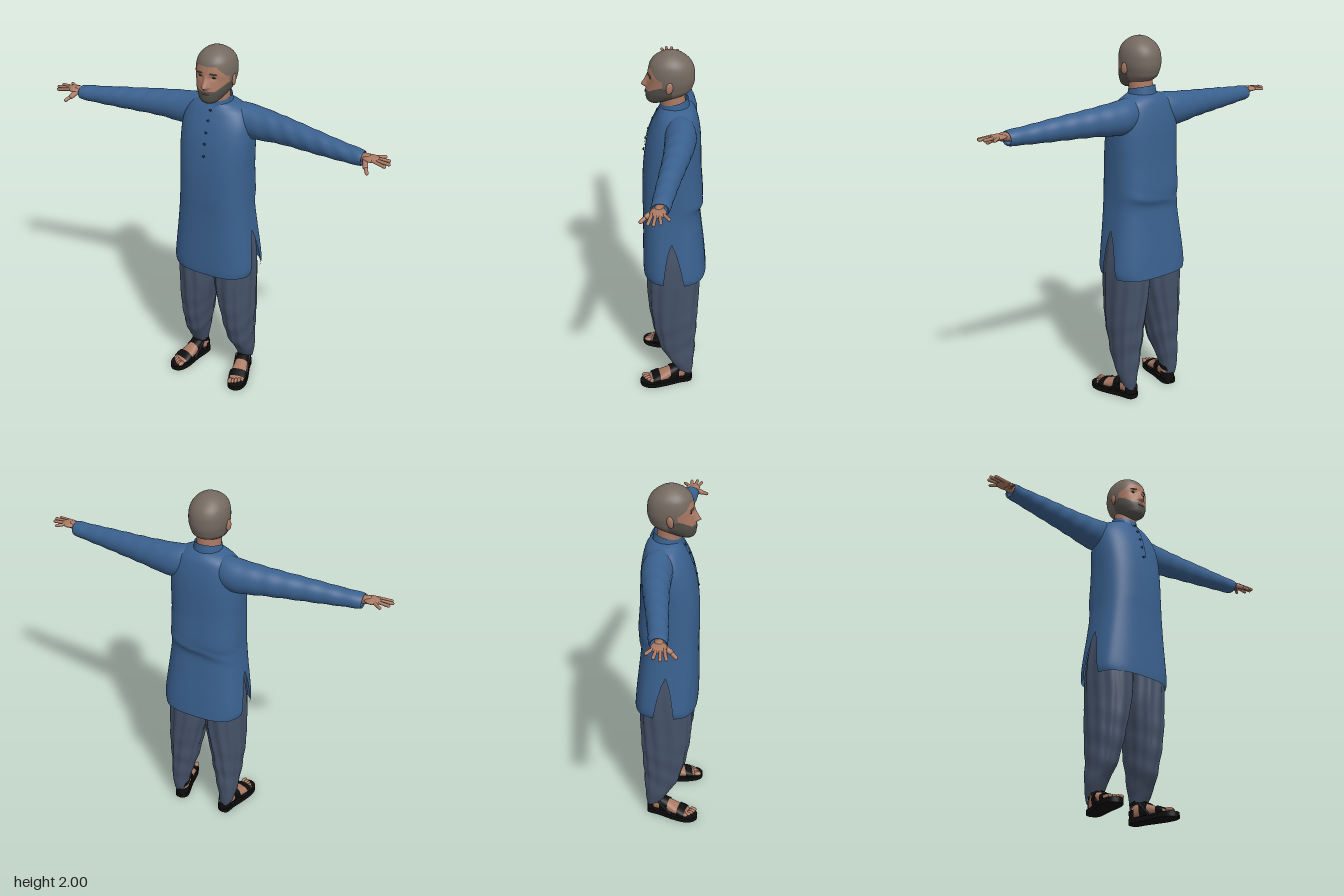
import * as THREE from 'three';
import { mergeGeometries, mergeVertices } from 'three/addons/utils/BufferGeometryUtils.js';

const { PI, sin, cos, exp, abs, max, min } = Math;
const pw = (c, e) => Math.sign(c) * abs(c) ** e;
const clamp = (v) => min(1, max(0, v));

// Smoothly interpolates a list of cross-section rows, t in 0..1
function sample(rows, t) {
  const n = rows.length - 1, f = t * n, i = min(Math.floor(f), n - 1), u = f - i;
  const r = (k) => rows[max(0, min(n, k))];
  return rows[0].map((_, c) => {
    const a = r(i - 1)[c], b = r(i)[c], d = r(i + 1)[c], e = r(i + 2)[c];
    return b + 0.5 * u * (d - a + u * (2 * a - 5 * b + 4 * d - e + u * (3 * (b - d) + e - a)));
  });
}

// Grid surface from fn(u, v) -> [x, y, z]
function grid(nu, nv, fn) {
  const pos = [], idx = [];
  for (let j = 0; j <= nv; j++) for (let i = 0; i <= nu; i++) pos.push(...fn(i / nu, j / nv));
  for (let j = 0; j < nv; j++) for (let i = 0; i < nu; i++) {
    const a = j * (nu + 1) + i, b = a + nu + 1;
    idx.push(a, b, a + 1, a + 1, b, b + 1);
  }
  const g = new THREE.BufferGeometry();
  g.setAttribute('position', new THREE.Float32BufferAttribute(pos, 3));
  g.setIndex(idx);
  return g;
}
function finish(g) {
  const m = mergeVertices(g, 1e-5);
  m.computeVertexNormals();
  return m;
}

const mat = (name, color, side = THREE.FrontSide) => {
  const m = new THREE.MeshStandardMaterial({ color, side });
  m.name = name;
  return m;
};

export function createModel() {
  const blue = mat('blueCloth', 0x3a618f, THREE.DoubleSide);
  const slate = mat('slateCloth', 0x455268, THREE.DoubleSide);
  const skin = mat('skin', 0xaa7a64);
  const hair = mat('greyHair', 0x746960);
  const beard = mat('greyBeard', 0x56524d);
  const black = mat('blackLeather', 0x0d0d0e, THREE.DoubleSide);
  const navy = mat('navyButton', 0x1c2c44);
  const dark = mat('darkEye', 0x231a18);
  const lip = mat('lip', 0x7c4f45);

  const model = new THREE.Group();
  model.name = 'standingMan';
  const add = (parent, name, geo, material, p = [0, 0, 0]) => {
    const m = new THREE.Mesh(geo, material);
    m.name = name;
    m.position.set(...p);
    parent.add(m);
    return m;
  };
  const blob = (parent, name, material, p, s) => {
    const m = add(parent, name, new THREE.SphereGeometry(1, 16, 12), material, p);
    m.scale.set(...s);
    return m;
  };
  // Rounded rod between two points
  const rod = (parent, name, material, a, b, r) => {
    const A = new THREE.Vector3(...a), B = new THREE.Vector3(...b), d = B.clone().sub(A);
    const m = add(parent, name, new THREE.CapsuleGeometry(r, d.length(), 5, 10), material);
    m.position.copy(A).add(B).multiplyScalar(0.5);
    m.quaternion.setFromUnitVectors(new THREE.Vector3(0, 1, 0), d.normalize());
    return m;
  };

  // Long shirt: y, half width, front z, back z, roundness
  const shirt = [
    [0.72, 0.228, 0.158, -0.185, 0.7], [0.76, 0.235, 0.16, -0.182, 0.7], [0.85, 0.227, 0.16, -0.174, 0.7],
    [1.0, 0.209, 0.158, -0.157, 0.7], [1.11, 0.198, 0.158, -0.148, 0.7], [1.19, 0.196, 0.16, -0.163, 0.72],
    [1.34, 0.195, 0.156, -0.154, 0.75], [1.45, 0.198, 0.145, -0.151, 0.78], [1.53, 0.198, 0.13, -0.148, 0.82],
    [1.6, 0.19, 0.107, -0.139, 0.86], [1.66, 0.16, 0.08, -0.124, 0.92], [1.69, 0.115, 0.063, -0.106, 1],
    [1.705, 0.073, 0.056, -0.085, 1]];
  const shirtPoint = (a, t, lift = 0) => {
    const [y, rx, zf, zb, e] = sample(shirt, t);
    const waist = 0.009 * exp(-(((y - 1.14 - 0.25 * cos(a) * 0.2) / 0.02) ** 2)) * max(0, -sin(a));
    const fold = 1 + 0.008 * sin(9 * a + 5 * y) * clamp((1.3 - y) * 2);
    return [rx * fold * pw(cos(a), e), y, (zf + zb) / 2 + ((zf - zb) / 2) * pw(sin(a), e) - waist + lift];
  };
  // Side slits open between the front and back panels
  const panel = (start) => grid(48, 72, (u, v) => {
    const y = sample(shirt, v)[0];
    const gap = 0.2 * clamp((0.96 - y) / 0.24) ** 0.75;
    return shirtPoint(start + gap + u * (PI - 2 * gap), v);
  });
  add(model, 'longShirt', finish(mergeGeometries([panel(0), panel(PI)])), blue);
  add(model, 'placket', finish(grid(6, 24, (u, v) => {
    const p = shirtPoint(PI / 2, 0.575 + v * 0.425, 0.005);
    p[0] = (0.5 - u) * 0.042;
    return p;
  })), blue);
  for (const t of [0.575, 0.64, 0.705, 0.78, 0.86])
    blob(model, 'button', navy, shirtPoint(PI / 2, t, 0.007), [0.007, 0.007, 0.004]);
  // Standing collar, lower at the front
  add(model, 'collar', finish(grid(40, 6, (u, v) => {
    const a = u * 2 * PI, r = 0.079 - 0.008 * v;
    return [r * cos(a), 1.68 + 0.052 * v - 0.016 * sin(a), -0.01 + r * sin(a)];
  })), blue);

  // Neck
  add(model, 'neck', finish(grid(32, 8, (u, v) => {
    const a = u * 2 * PI;
    return [0.064 * cos(a), 1.67 + 0.13 * v, -0.008 + 0.012 * v + 0.064 * sin(a)];
  })), skin);

  // Head: y, half width, front z, back z
  const skull = [
    [1.718, 0, 0.09, 0.09], [1.725, 0.03, 0.117, 0.06], [1.74, 0.052, 0.132, 0.02], [1.765, 0.072, 0.137, -0.05],
    [1.79, 0.086, 0.137, -0.092], [1.82, 0.094, 0.131, -0.107], [1.85, 0.1, 0.126, -0.114],
    [1.88, 0.102, 0.126, -0.114], [1.91, 0.1, 0.121, -0.11], [1.94, 0.092, 0.112, -0.097],
    [1.965, 0.075, 0.092, -0.074], [1.985, 0.05, 0.062, -0.044], [1.996, 0.025, 0.035, -0.015], [2, 0, 0.008, 0.008]];
  const head = finish(grid(128, 96, (u, v) => {
    const [y, rx, zf, zb] = sample(skull, v), a = u * 2 * PI;
    const x = max(0, rx) * pw(cos(a), 0.95);
    let z = (zf + zb) / 2 + ((zf - zb) / 2) * pw(sin(a), 0.95);
    if (sin(a) > 0.3) {
      const slope = clamp((1.882 - y) / 0.06) * clamp((y - 1.802) / 0.014);
      z += 0.028 * slope * exp(-((x / (0.01 + 0.007 * slope)) ** 2));
      z -= 0.008 * exp(-(((abs(x) - 0.036) / 0.018) ** 2) - ((y - 1.866) / 0.012) ** 2);
    }
    return [x, y, z];
  }));
  // Divide the head into face, hair and beard
  const zone = (x, y, z) => {
    const ax = abs(x);
    if (z < 0.0) return y > 1.77 ? 1 : 0;
    if (y > 1.922 - 1.2 * max(0, ax - 0.05) || (z < 0.048 && y > 1.83)) return 1;
    if (y < 1.797 + 0.9 * max(0, ax - 0.05) || (z < 0.055 && y < 1.835)) return 2;
    return 0;
  };
  const hp = head.attributes.position, hi = head.index.array, parts = [[], [], []];
  for (let i = 0; i < hi.length; i += 3) {
    const t = [hi[i], hi[i + 1], hi[i + 2]];
    const mid = (k) => t.reduce((s, q) => s + hp.array[q * 3 + k], 0) / 3;
    parts[zone(mid(0), mid(1), mid(2))].push(...t);
  }
  head.setIndex(parts.flat());
  let first = 0;
  parts.forEach((p, k) => { head.addGroup(first, p.length, k); first += p.length; });
  add(model, 'head', head, [skin, hair, beard]);
  blob(model, 'mouth', lip, [0, 1.781, 0.134], [0.022, 0.004, 0.007]);
  for (const s of [1, -1]) {
    blob(model, 'eye', dark, [s * 0.036, 1.867, 0.109], [0.012, 0.005, 0.006]);
    blob(model, 'eyebrow', beard, [s * 0.037, 1.886, 0.116], [0.021, 0.004, 0.006]).rotation.set(0, s * 0.3, -s * 0.1);
    blob(model, 'ear', skin, [s * 0.1, 1.838, 0.012], [0.01, 0.032, 0.019]).rotation.set(-0.15, s * 0.3, 0);
  }

  // Sleeve: x, y, z, half height, half depth
  const sleeve = [
    [0.06, 1.612, -0.035, 0.07, 0.06], [0.12, 1.605, -0.042, 0.088, 0.078], [0.2, 1.597, -0.045, 0.089, 0.08],
    [0.36, 1.596, -0.03, 0.073, 0.068], [0.56, 1.589, 0.0, 0.059, 0.056], [0.7, 1.584, 0.02, 0.048, 0.05],
    [0.815, 1.582, 0.035, 0.039, 0.045], [0.82, 1.582, 0.036, 0.03, 0.035]];
  // Trouser leg: y, inner x, outer x, front z, back z
  const leg = [
    [0.085, 0.108, 0.188, -0.015, -0.112], [0.14, 0.1, 0.2, 0.012, -0.122], [0.2, 0.086, 0.204, 0.045, -0.126],
    [0.3, 0.064, 0.208, 0.083, -0.132], [0.45, 0.038, 0.216, 0.115, -0.14], [0.6, 0.008, 0.217, 0.131, -0.147],
    [0.72, 0, 0.217, 0.135, -0.15], [0.85, -0.01, 0.207, 0.132, -0.145], [1.0, -0.01, 0.18, 0.12, -0.125]];
  // Foot: z, half width, top height
  const foot = [
    [-0.075, 0.004, 0.045], [-0.066, 0.026, 0.075], [-0.03, 0.034, 0.11], [0.03, 0.036, 0.1],
    [0.09, 0.043, 0.075], [0.14, 0.045, 0.055], [0.165, 0.036, 0.045]];
  const footPoint = (u, t, grow = 0) => {
    const [z, w, top] = sample(foot, t), a = u * 2 * PI, h = (top - 0.024) / 2;
    return [(w + grow) * pw(sin(a), 0.85), 0.024 + h + (h + grow) * pw(cos(a), 0.85), z];
  };

  for (const s of [1, -1]) {
    const side = new THREE.Group();
    side.name = s > 0 ? 'leftLimbs' : 'rightLimbs';
    side.scale.x = s;
    model.add(side);

    add(side, 'sleeve', finish(grid(36, 80, (u, v) => {
      const [x, y, z, ry, rz] = sample(sleeve, v), a = u * 2 * PI;
      const k = 1 + 0.022 * sin(62 * x + 2 * sin(a) + a) * clamp((x - 0.15) * 5);
      return [x, y + ry * k * sin(a), z + rz * k * cos(a)];
    })), blue);

    // Hand
    const hand = new THREE.Group();
    hand.name = 'hand';
    side.add(hand);
    rod(hand, 'wrist', skin, [0.79, 1.586, 0.037], [0.845, 1.593, 0.042], 0.023);
    blob(hand, 'palm', skin, [0.866, 1.595, 0.043], [0.046, 0.015, 0.039]);
    const fingers = [[0.071, 0.95, 0.086, 1.589], [0.053, 0.963, 0.06, 1.593], [0.035, 0.953, 0.028, 1.595], [0.017, 0.92, -0.008, 1.594]];
    for (const [z0, x1, z1, y1] of fingers) rod(hand, 'finger', skin, [0.885, 1.597, z0], [x1, y1, z1], 0.0085);
    rod(hand, 'thumbBase', skin, [0.842, 1.588, 0.06], [0.858, 1.57, 0.095], 0.014);
    rod(hand, 'thumbTip', skin, [0.858, 1.57, 0.095], [0.878, 1.553, 0.122], 0.0095);

    // Draped trouser leg with pleats and sagging folds
    add(side, 'trouserLeg', finish(grid(72, 72, (u, v) => {
      const [y, xi, xo, zf, zb] = sample(leg, v), a = u * 2 * PI;
      const low = clamp((0.6 - y) * 3) * clamp((y - 0.06) * 8);
      const k = 1 + 0.032 * sin(11 * a + 7 * y) * clamp((y - 0.1) * 4) + 0.028 * low * sin(48 * y + 3 * sin(a));
      const tilt = 0.03 * sin(a) * clamp((0.25 - y) * 6);
      return [(xi + xo) / 2 + ((xo - xi) / 2) * k * pw(cos(a), 0.9), y + tilt,
        (zf + zb) / 2 + ((zf - zb) / 2) * k * pw(sin(a), 0.9)];
    })), slate);

    // Foot with open sandal, turned outward
    const shoe = new THREE.Group();
    shoe.name = 'foot';
    shoe.position.set(0.15, 0, -0.033);
    shoe.rotation.y = 0.24;
    side.add(shoe);
    const outline = new THREE.Shape();
    outline.moveTo(0, -0.086);
    outline.splineThru([[0.036, -0.068], [0.041, 0], [0.053, 0.09], [0.053, 0.16], [0.03, 0.205], [-0.01, 0.217],
      [-0.043, 0.19], [-0.052, 0.13], [-0.043, 0.05], [-0.037, -0.06], [0, -0.086]].map((p) => new THREE.Vector2(...p)));
    const sole = new THREE.ExtrudeGeometry(outline, { depth: 0.027, bevelEnabled: false, curveSegments: 40 });
    sole.rotateX(PI / 2).translate(0, 0.027, 0);
    add(shoe, 'sole', sole, black);
    add(shoe, 'footSkin', finish(grid(28, 30, (u, v) => footPoint(u, v))), skin);
    rod(shoe, 'ankle', skin, [0, 0.08, -0.033], [0, 0.17, -0.035], 0.031);
    for (let i = 0; i < 5; i++)
      blob(shoe, 'toe', skin, [-0.033 + i * 0.0165, 0.038, 0.182 - 0.0025 * i * i * 0.8], [i ? 0.009 : 0.013, 0.012, 0.022]);
    // Straps wrap over the foot
    for (const [t0, t1] of [[0.72, 0.89], [0.42, 0.55]])
      add(shoe, 'strap', finish(grid(28, 4, (u, v) => footPoint(u, t0 + v * (t1 - t0), 0.006))), black);
    add(shoe, 'ankleStrap', finish(grid(28, 4, (u, v) => {
      const a = u * 2 * PI;
      return [0.04 * cos(a), 0.09 + 0.026 * v + 0.012 * sin(a), -0.03 + 0.048 * sin(a)];
    })), black);
    add(shoe, 'heelStrap', finish(grid(16, 4, (u, v) => {
      const a = PI + u * PI;
      return [0.039 * cos(a), 0.02 + 0.05 * v, -0.034 + 0.05 * sin(a)];
    })), black);
    for (const x of [-0.04, 0.04]) rod(shoe, 'sideStrap', black, [x, 0.025, 0.07], [x * 0.95, 0.095, 0], 0.007);
  }
  return model;
}
